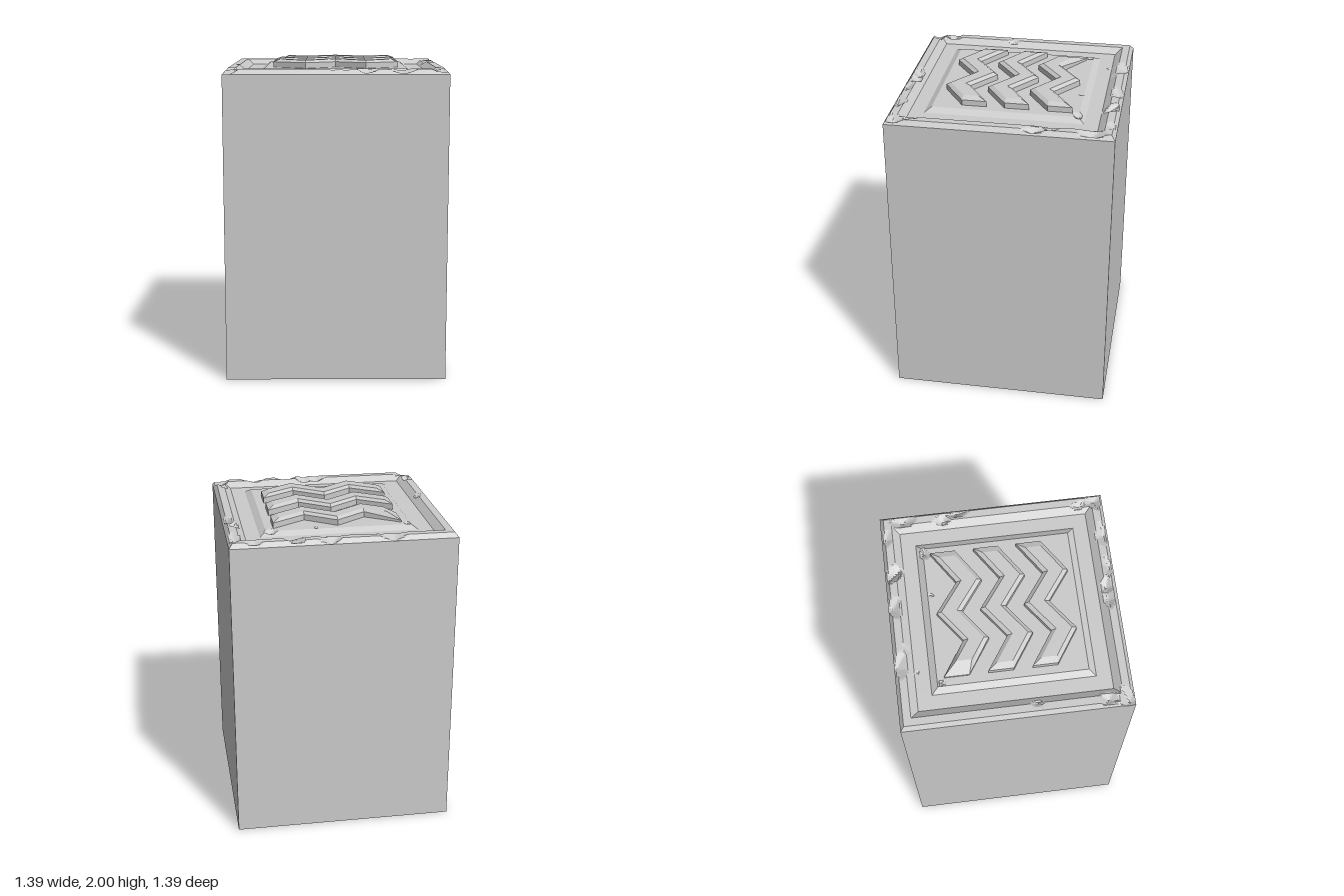
import * as THREE from 'three';

const HALF = 0.695, RIM = 1.96;
// Height profile from the outer edge to the centre: [distance from centre, y]
const PROFILE = [[HALF, 1.93], [0.672, RIM], [0.625, RIM], [0.58, 1.925], [0.49, 1.925], [0.45, 1.95], [0, 1.95]];

// Chips: x, z, half width, half depth, turn, lowest y
const CHIPS = [
  [-0.30, -0.68, 0.10, 0.10, 0.1, 1.925], [-0.20, -0.60, 0.10, 0.035, 0.1, 1.935], [-0.34, -0.56, 0.04, 0.07, 0, 1.915],
  [0.08, -0.67, 0.09, 0.08, 0, 1.92], [0.31, -0.62, 0.16, 0.055, -0.9, 1.92], [0.38, -0.53, 0.07, 0.04, -1, 1.92],
  [0.42, -0.45, 0.06, 0.06, 0.3, 1.918], [0.54, -0.67, 0.07, 0.06, 0, 1.935], [0.65, -0.56, 0.07, 0.10, 0.1, 1.915],
  [0.62, -0.31, 0.055, 0.07, 0.5, 1.925], [0.67, -0.21, 0.04, 0.08, 0.3, 1.925], [-0.615, 0.125, 0.035, 0.05, 0, 1.93],
  [-0.65, 0.54, 0.06, 0.08, 0, 1.92], [-0.67, 0.66, 0.11, 0.09, 0.3, 1.905], [-0.02, 0.63, 0.08, 0.06, 0, 1.925],
  [0.06, 0.63, 0.07, 0.07, 0.5, 1.92], [0.19, 0.67, 0.09, 0.06, 0.2, 1.93], [0.41, 0.67, 0.09, 0.07, 0, 1.925],
  [0.65, 0.64, 0.08, 0.09, 0, 1.92], [0.62, 0.54, 0.04, 0.06, 0.2, 1.93],
  [0.14, -0.43, 0.025, 0.02, 0.5, 1.935], [-0.43, -0.43, 0.025, 0.04, -0.4, 1.925],
];

function seeded(seed) {
  let s = seed;
  return () => (s = (s * 16807) % 2147483647) / 2147483647;
}

// Each chip is a faceted pit made of a few sloping planes
const rnd = seeded(4711);
const PITS = CHIPS.map(([x, z, w, d, turn, low]) => {
  const facets = [];
  for (let k = 0; k < 6; k++) {
    facets.push([(k + 0.6 * rnd()) * Math.PI / 3, 0.75 + 0.35 * rnd()]);
  }
  return { x, z, w, d, c: Math.cos(turn), s: Math.sin(turn), low, facets };
});

function height(x, z) {
  const m = Math.max(Math.abs(x), Math.abs(z));
  let y = 1.95;
  for (let i = 0; i < PROFILE.length - 1; i++) {
    const [r0, y0] = PROFILE[i], [r1, y1] = PROFILE[i + 1];
    if (m <= r0 + 1e-6 && m >= r1 - 1e-6) {
      y = y0 + (y1 - y0) * (r0 - m) / (r0 - r1);
      break;
    }
  }
  for (const p of PITS) {
    const dx = x - p.x, dz = z - p.z;
    const u = (dx * p.c - dz * p.s) / p.w, v = (dx * p.s + dz * p.c) / p.d;
    if (u * u + v * v > 4) continue;
    let d = 0;
    for (const [a, reach] of p.facets) d = Math.max(d, (u * Math.cos(a) + v * Math.sin(a)) / reach);
    y = Math.min(y, p.low + (RIM + 0.003 - p.low) * d);
  }
  return y;
}

// Collects quads into a flat-shaded mesh
function builder() {
  const pos = [];
  return {
    quad(a, b, c, d, flip) {
      if (flip) pos.push(...a, ...b, ...d, ...b, ...c, ...d);
      else pos.push(...a, ...b, ...c, ...a, ...c, ...d);
    },
    mesh(name) {
      const g = new THREE.BufferGeometry();
      g.setAttribute('position', new THREE.Float32BufferAttribute(pos, 3));
      g.computeVertexNormals();
      const mesh = new THREE.Mesh(g, new THREE.MeshStandardMaterial({ color: 0xcccccc, flatShading: true }));
      mesh.name = name;
      return mesh;
    },
  };
}

// Grid lines that land exactly on every profile edge
function gridLines() {
  const half = [];
  for (let i = 0; i < PROFILE.length - 1; i++) {
    const r0 = PROFILE[i][0], r1 = PROFILE[i + 1][0], n = Math.ceil((r0 - r1) / 0.0125);
    for (let k = 0; k < n; k++) half.push(r0 + (r1 - r0) * k / n);
  }
  return [...half.map(v => -v), 0, ...half.reverse()];
}

// Pillar: carved and chipped top, four plain walls, flat base
function pillar() {
  const b = builder(), g = gridLines(), n = g.length - 1;
  const top = (x, z) => [x, height(x, z), z];
  for (let i = 0; i < n; i++) {
    for (let j = 0; j < n; j++) {
      const x0 = g[i], x1 = g[i + 1], z0 = g[j], z1 = g[j + 1];
      b.quad(top(x0, z0), top(x0, z1), top(x1, z1), top(x1, z0), (x0 + x1) * (z0 + z1) < 0);
    }
  }
  for (let side = 0; side < 4; side++) {
    const c = Math.round(Math.cos(side * Math.PI / 2)), s = Math.round(Math.sin(side * Math.PI / 2));
    const at = t => [t * c + HALF * s, HALF * c - t * s];
    for (let i = 0; i < n; i++) {
      const [xa, za] = at(g[i]), [xb, zb] = at(g[i + 1]);
      b.quad([xa, 0, za], [xb, 0, zb], top(xb, zb), top(xa, za));
    }
  }
  b.quad([-HALF, 0, -HALF], [HALF, 0, -HALF], [HALF, 0, HALF], [-HALF, 0, HALF]);
  return b.mesh('pillar');
}

// Zigzag line shared by both long edges of a chevron bar
function zigzag(x) {
  const a = Math.abs(x);
  return a < 0.19 ? 0.14 * a / 0.19 : 0.14 * (0.4 - a) / 0.21;
}

// Bevelled chevron bar; a broken bar has its left-hand end worn down
function chevron(zBack, broken) {
  const b = builder();
  const outer = [-0.4, -0.19, 0, 0.19, 0.4];
  const inner = [broken ? -0.32 : -0.36, -0.19, 0, 0.19, 0.36];
  const ring = (xs, y, inset) => {
    const back = xs.map((x, i) => [x, y(i), zBack + zigzag(x) + inset]);
    const front = xs.map((x, i) => [x, y(i), zBack + 0.152 + zigzag(x) - inset]);
    return [...back, ...front.reverse()];
  };
  const rings = [
    ring(outer, () => 1.92, 0),
    ring(outer, i => (broken && i === 0 ? 1.962 : 1.985), 0),
    ring(inner, () => 2, 0.029),
  ];
  for (let r = 0; r < 2; r++) {
    const lo = rings[r], hi = rings[r + 1];
    for (let i = 0; i < 10; i++) {
      const k = (i + 1) % 10;
      b.quad(lo[k], lo[i], hi[i], hi[k]);
    }
  }
  const t = rings[2];
  for (let i = 0; i < 4; i++) b.quad(t[i], t[9 - i], t[8 - i], t[i + 1]);
  return b.mesh('chevronBar');
}

export function createModel() {
  const group = new THREE.Group();
  group.name = 'carvedPillar';
  group.add(pillar());
  for (let i = 0; i < 3; i++) group.add(chevron(-0.408 + 0.264 * i, i === 0));
  return group;
}
